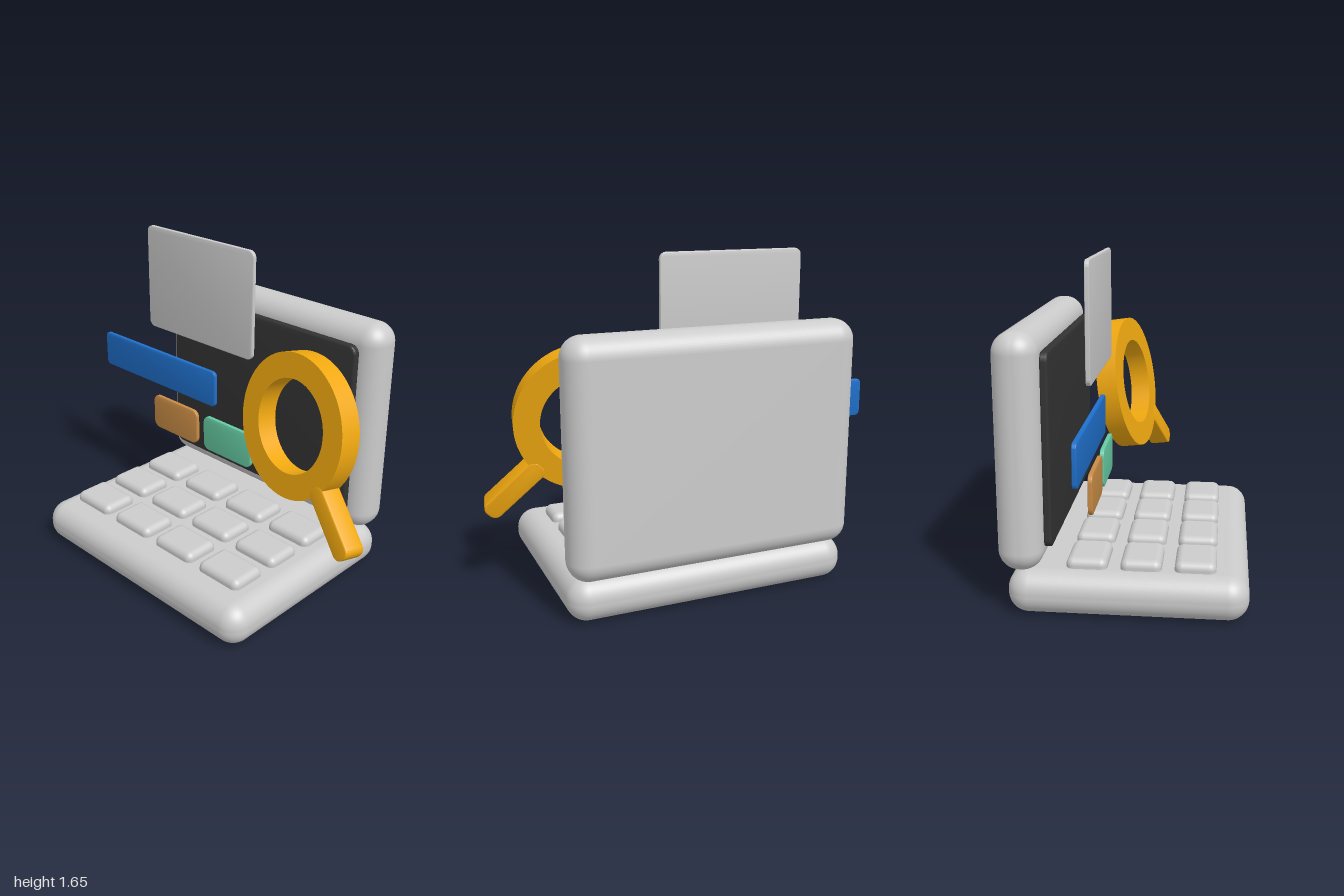
import * as THREE from 'three';
import { toCreasedNormals } from 'three/addons/utils/BufferGeometryUtils.js';
import { RoundedBoxGeometry } from 'three/addons/geometries/RoundedBoxGeometry.js';

const material = (color) => new THREE.MeshStandardMaterial({ color });
const grey = material(0xcccccc);
const dark = material(0x333333);
const blue = material(0x1f70cc);
const orange = material(0xc98c45);
const green = material(0x66cba4);
const gold = material(0xf0a810);

function addMesh(parent, name, geometry, mat, x = 0, y = 0, z = 0) {
  const mesh = new THREE.Mesh(geometry, mat);
  mesh.name = name;
  mesh.position.set(x, y, z);
  parent.add(mesh);
  return mesh;
}

// Rounded rectangle outline centred on the origin
function roundedRect(w, h, r) {
  const x = w / 2, y = h / 2;
  const s = new THREE.Shape();
  s.absarc(x - r, y - r, r, 0, Math.PI / 2);
  s.absarc(-x + r, y - r, r, Math.PI / 2, Math.PI);
  s.absarc(-x + r, -y + r, r, Math.PI, Math.PI * 1.5);
  s.absarc(x - r, -y + r, r, Math.PI * 1.5, Math.PI * 2);
  s.closePath();
  return s;
}

// Extrusion centred in depth, with an optional small bevel kept inside the outline
function slab(shape, depth, bevel = 0, curveSegments = 10) {
  const g = new THREE.ExtrudeGeometry(shape, {
    depth: depth - 2 * bevel, curveSegments,
    bevelEnabled: bevel > 0, bevelSize: bevel, bevelThickness: bevel,
    bevelOffset: -bevel, bevelSegments: 3,
  });
  g.translate(0, 0, bevel - depth / 2);
  return toCreasedNormals(g, 0.6);
}

export function createModel() {
  const model = new THREE.Group();
  model.name = 'laptopWithMagnifier';

  // Laptop body: base and upright lid
  addMesh(model, 'base', new RoundedBoxGeometry(1.44, 0.215, 1.13, 8, 0.1), grey, 0.02, 0.1075, 0.022);
  addMesh(model, 'lid', new RoundedBoxGeometry(1.44, 1.125, 0.215, 8, 0.1), grey, 0.02, 0.773, -0.478);
  addMesh(model, 'screen', slab(roundedRect(1.245, 0.93, 0.045), 0.04, 0.012), dark, 0.018, 0.775, -0.355);

  // Keyboard: three rows of four keys
  const keys = new THREE.Group();
  keys.name = 'keyboard';
  model.add(keys);
  const keyGeometry = new RoundedBoxGeometry(0.262, 0.11, 0.195, 5, 0.035);
  for (let row = 0; row < 3; row++) {
    for (let col = 0; col < 4; col++) {
      addMesh(keys, 'key', keyGeometry, grey, -0.47 + col * 0.315, 0.207, -0.175 + row * 0.255);
    }
  }

  // Thin cards floating in front of the screen: x, y, width, height, corner radius
  const cards = [
    ['largeCard', grey, -0.225, 1.366, 0.76, 0.56, 0.035],
    ['barCard', blue, -0.552, 0.843, 0.896, 0.2, 0.025],
    ['leftTile', orange, -0.415, 0.57, 0.35, 0.2, 0.04],
    ['rightTile', green, -0.014, 0.57, 0.35, 0.2, 0.04],
  ];
  for (const [name, mat, x, y, w, h, r] of cards) {
    addMesh(model, name, slab(roundedRect(w, h, r), 0.022, 0.005), mat, x, y, -0.154);
  }

  // Magnifier: flat ring and handle, tilted back and turned slightly
  const magnifier = new THREE.Group();
  magnifier.name = 'magnifier';
  magnifier.position.set(0.505, 0.868, -0.098);
  magnifier.rotation.set(-0.163, -0.176, 0);
  model.add(magnifier);

  const ring = new THREE.Shape().absarc(0, 0, 0.36, 0, Math.PI * 2);
  ring.holes.push(new THREE.Path().absarc(0, 0, 0.234, 0, Math.PI * 2, true));
  addMesh(magnifier, 'magnifierRing', slab(ring, 0.11, 0, 48), gold);

  const arm = new THREE.Group();
  arm.name = 'handleArm';
  arm.rotation.z = -Math.PI / 4;
  magnifier.add(arm);
  addMesh(arm, 'magnifierHandle', slab(roundedRect(0.36, 0.098, 0.04), 0.112, 0.006), gold, 0.5, 0, 0);

  return model;
}
